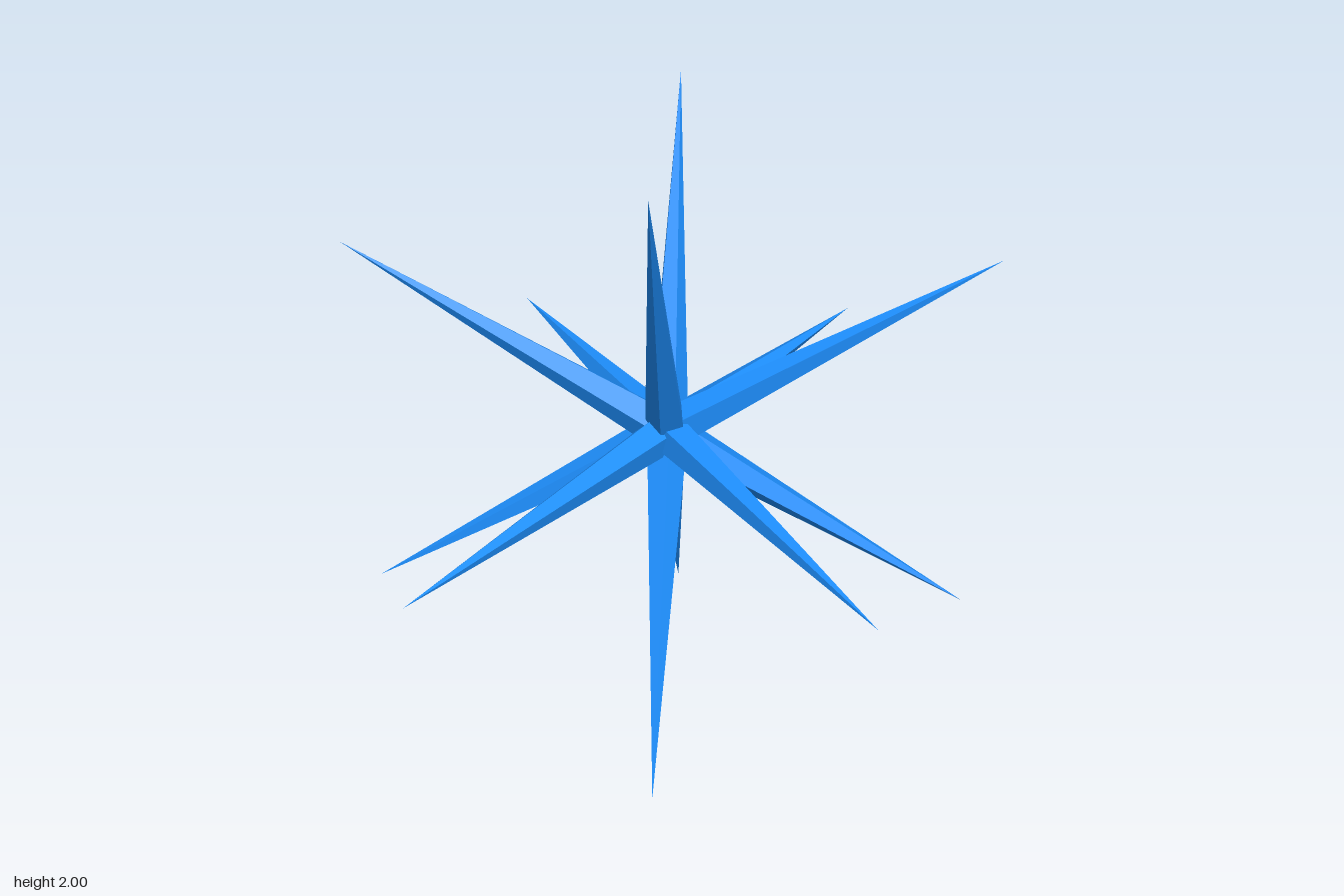
import * as THREE from 'three';

export function createModel() {
  const group = new THREE.Group();
  group.name = 'spikedStar';
  const material = new THREE.MeshStandardMaterial({ color: 0x1e90ff, flatShading: true });

  // One slender five-sided spike, base at the star's centre, tip along +y
  const minor = (Math.sqrt(5) - 1) / 2;
  const length = Math.hypot(1, minor);
  const spike = new THREE.ConeGeometry(0.0698, length, 5, 1, true).translate(0, length / 2, 0);
  const twist = THREE.MathUtils.degToRad(46.8);

  // Twelve spikes toward the corners of an icosahedron, all twisted the same way
  for (let axis = 0; axis < 3; axis++) {
    for (const s of [-1, 1]) {
      for (const t of [-1, 1]) {
        const direction = new THREE.Vector3();
        direction.setComponent(axis, s * minor);
        direction.setComponent((axis + 2) % 3, t);
        direction.normalize();

        // Sideways direction toward the nearest neighbouring spike
        const side = direction.clone();
        side.setComponent(axis, -side.getComponent(axis));
        side.addScaledVector(direction, -side.dot(direction)).normalize();

        // Turn the first ridge away from that neighbour
        const ridge = side.clone().multiplyScalar(Math.cos(twist))
          .addScaledVector(side.clone().cross(direction), Math.sin(twist));
        const across = direction.clone().cross(ridge);

        const mesh = new THREE.Mesh(spike, material);
        mesh.name = `spike${group.children.length + 1}`;
        mesh.quaternion.setFromRotationMatrix(new THREE.Matrix4().makeBasis(across, direction, ridge));
        mesh.position.y = 1;
        group.add(mesh);
      }
    }
  }
  return group;
}
